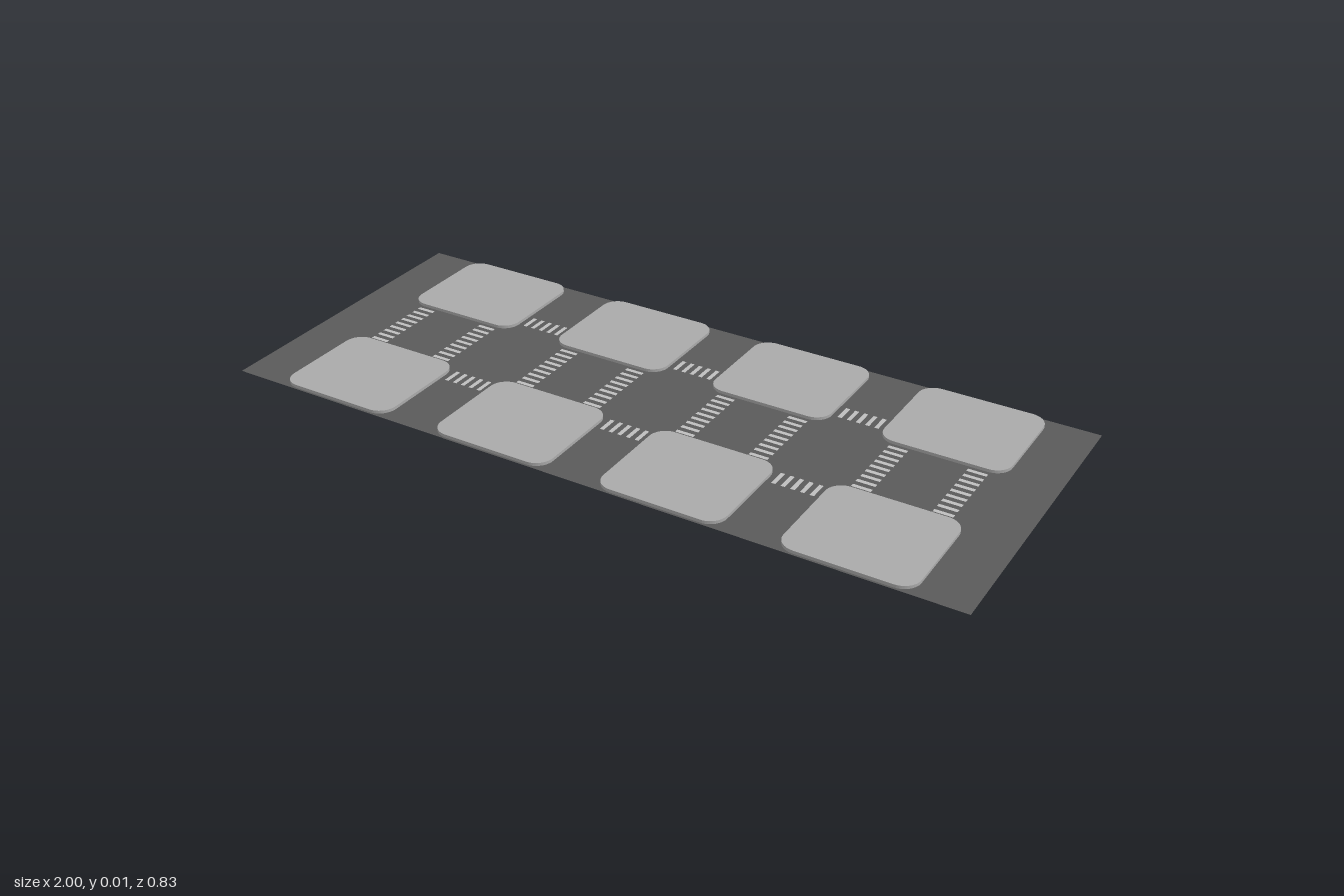
import * as THREE from 'three';

const W = 2, D = 0.83;             // road size
const PAD_W = 0.328, PAD_D = 0.295, PAD_R = 0.045, PAD_H = 0.008;
const COLS = [-0.702, -0.233, 0.236, 0.705];
const ROWS = [-0.266, 0.262];

// Traces a rounded rectangle centred on (cx, cy)
function roundedRect(path, cx, cy, w, h, r) {
  const x = w / 2 - r, y = h / 2 - r;
  path.moveTo(cx + x + r, cy - y);
  path.absarc(cx + x, cy + y, r, 0, Math.PI / 2);
  path.absarc(cx - x, cy + y, r, Math.PI / 2, Math.PI);
  path.absarc(cx - x, cy - y, r, Math.PI, Math.PI * 1.5);
  path.absarc(cx + x, cy - y, r, Math.PI * 1.5, Math.PI * 2);
  path.closePath();
  return path;
}

export function createModel() {
  const model = new THREE.Group();
  model.name = 'cityBlocks';
  const asphalt = new THREE.MeshStandardMaterial({ name: 'asphalt', color: 0x5a5a5a, side: THREE.DoubleSide });
  const concrete = new THREE.MeshStandardMaterial({ name: 'concrete', color: 0xaaaaaa });
  const paint = new THREE.MeshStandardMaterial({ name: 'roadPaint', color: 0xbebebe });

  // Flat road sheet with an opening for each block
  const sheet = new THREE.Shape();
  sheet.moveTo(-W / 2, -D / 2).lineTo(W / 2, -D / 2).lineTo(W / 2, D / 2).lineTo(-W / 2, D / 2).closePath();
  for (const x of COLS) for (const z of ROWS)
    sheet.holes.push(roundedRect(new THREE.Path(), x, -z, PAD_W, PAD_D, PAD_R));
  const road = new THREE.Mesh(new THREE.ShapeGeometry(sheet, 6).rotateX(-Math.PI / 2), asphalt);
  road.name = 'road';
  model.add(road);

  // Raised pavement blocks
  const padGeo = new THREE.ExtrudeGeometry(
    roundedRect(new THREE.Shape(), 0, 0, PAD_W, PAD_D, PAD_R),
    { depth: PAD_H, bevelEnabled: false, curveSegments: 6 }).rotateX(-Math.PI / 2);
  for (const x of COLS) for (const z of ROWS) {
    const pad = new THREE.Mesh(padGeo, concrete);
    pad.name = 'pavementBlock';
    pad.position.set(x, 0, z);
    model.add(pad);
  }

  // Zebra crossings: count stripes laid along z (or along x)
  function crossing(cx, cz, count, alongX) {
    const group = new THREE.Group();
    group.name = 'crossing';
    const geo = new THREE.PlaneGeometry(alongX ? 0.011 : 0.05, alongX ? 0.05 : 0.011).rotateX(-Math.PI / 2);
    for (let i = 0; i < count; i++) {
      const stripe = new THREE.Mesh(geo, paint);
      const t = (i - (count - 1) / 2) * 0.0247;
      stripe.name = 'stripe';
      stripe.position.set(alongX ? t : 0, 0, alongX ? 0 : t);
      group.add(stripe);
    }
    group.position.set(cx, 0.0015, cz);
    model.add(group);
  }
  for (const x of COLS) for (const s of [-1, 1]) crossing(x + s * 0.101, -0.002, 9, false);
  for (let i = 0; i < 3; i++) for (const z of [-0.188, 0.16])
    crossing((COLS[i] + COLS[i + 1]) / 2, z, 5, true);

  return model;
}
